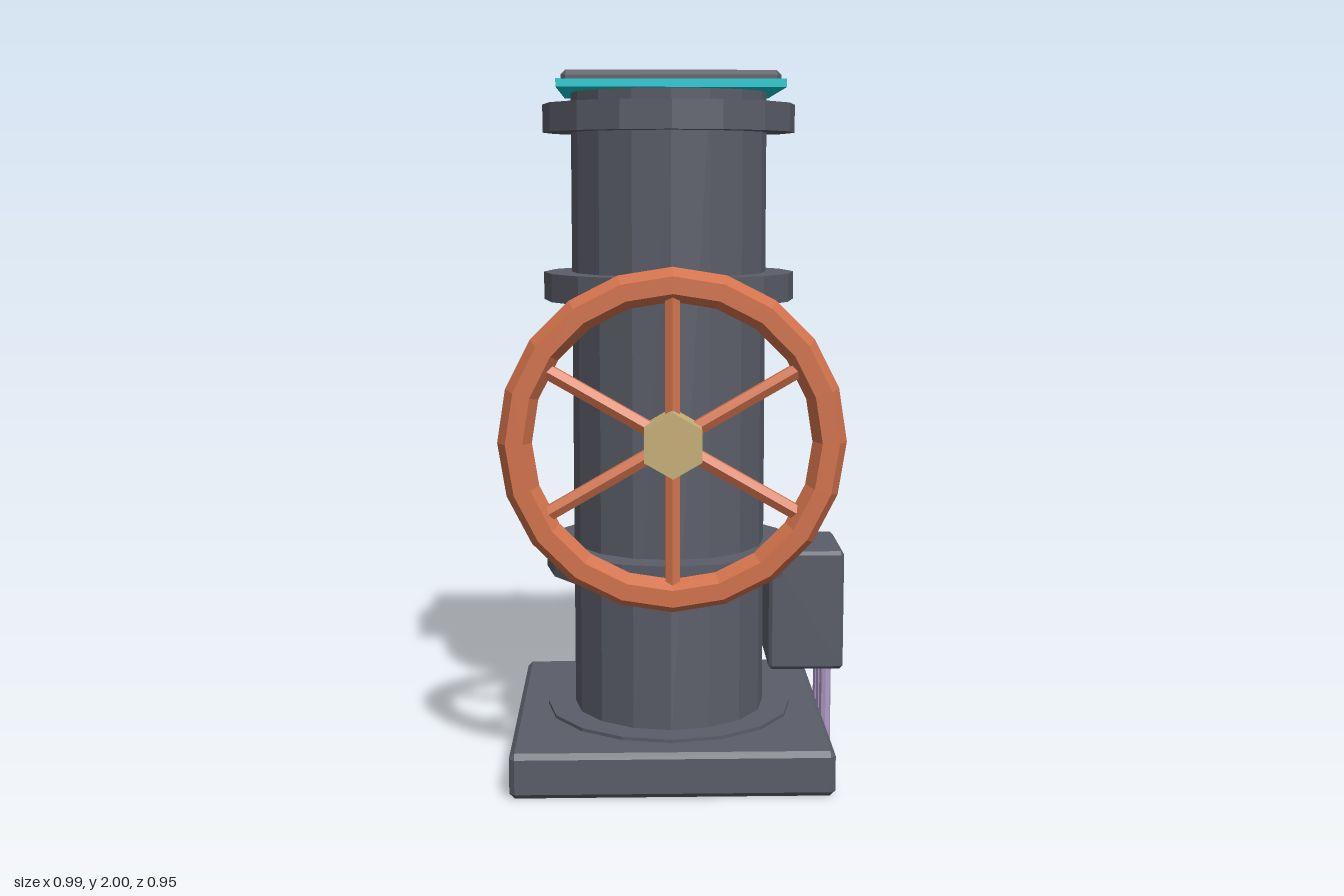
import * as THREE from 'three';
import { ConvexGeometry } from 'three/addons/geometries/ConvexGeometry.js';

const makeMaterial = (name, color) => {
  const m = new THREE.MeshStandardMaterial({ color });
  m.name = name;
  return m;
};

// Faceted normals for low-poly parts
function faceted(geometry) {
  const g = geometry.toNonIndexed();
  g.computeVertexNormals();
  return g;
}

// Box with every edge chamfered, given its full size and chamfer width
function chamferBox(w, h, d, c) {
  const points = [];
  for (const sx of [-1, 1]) for (const sy of [-1, 1]) for (const sz of [-1, 1]) {
    for (let axis = 0; axis < 3; axis++) {
      const inset = [c, c, c];
      inset[axis] = 0;
      points.push(new THREE.Vector3(
        sx * (w / 2 - inset[0]), sy * (h / 2 - inset[1]), sz * (d / 2 - inset[2])));
    }
  }
  return new ConvexGeometry(points);
}

const prism = (r, h, sides) => faceted(new THREE.CylinderGeometry(r, r, h, sides));

export function createModel() {
  const model = new THREE.Group();
  model.name = 'valveColumn';
  const iron = makeMaterial('dark iron', 0x5a5d68);
  const cyan = makeMaterial('cyan trim', 0x10c8d2);
  const copper = makeMaterial('copper', 0xd2724c);
  const brass = makeMaterial('brass', 0xc6b078);
  const lilac = makeMaterial('lilac conduit', 0xb09ac6);
  const C = -0.02; // column axis in x and z

  const add = (name, geometry, material, x, y, z, parent = model) => {
    const mesh = new THREE.Mesh(geometry, material);
    mesh.name = name;
    mesh.position.set(x, y, z);
    parent.add(mesh);
    return mesh;
  };

  // Base and column with flanges
  add('base', chamferBox(0.91, 0.13, 0.91, 0.015), iron, C, 0.065, C);
  add('column', prism(0.283, 1.86, 16), iron, C, 1.03, C);
  for (const y of [0.1, 0.6, 1.4, 1.88]) {
    add('flange', prism(0.365, 0.08, 16), iron, C, y, C);
  }

  // Square cap with a bright trim plate beneath it
  add('trimPlate', new THREE.BoxGeometry(0.625, 0.022, 0.625), cyan, C, 1.964, C);
  add('cap', chamferBox(0.6, 0.04, 0.6, 0.014), iron, C, 1.98, C);

  // Handwheel, spun about the z axis
  const wheel = new THREE.Group();
  wheel.name = 'handwheel';
  wheel.position.set(C, 1, 0.4);
  model.add(wheel);
  add('rim', faceted(new THREE.TorusGeometry(0.428, 0.047, 6, 20)), copper, 0, 0, 0, wheel);
  for (let i = 0; i < 6; i++) {
    const a = Math.PI / 2 + i * Math.PI / 3;
    const spoke = add('spoke', prism(0.023, 0.4, 6), copper,
      0.22 * Math.cos(a), 0.22 * Math.sin(a), 0, wheel);
    spoke.rotation.z = a - Math.PI / 2;
  }
  add('hub', prism(0.09, 0.11, 6), brass, 0, 0, 0.02, wheel).rotation.x = Math.PI / 2;
  add('axle', prism(0.066, 0.2, 8), brass, 0, 0, -0.1, wheel).rotation.x = Math.PI / 2;

  // Junction box on the left side with three conduits to the ground
  add('junctionBox', chamferBox(0.22, 0.355, 0.295, 0.01), iron, 0.38, 0.452, C);
  for (const z of [-0.105, C, 0.065]) {
    add('conduit', prism(0.017, 0.3, 8), lilac, 0.445, 0.15, z);
  }

  return model;
}
